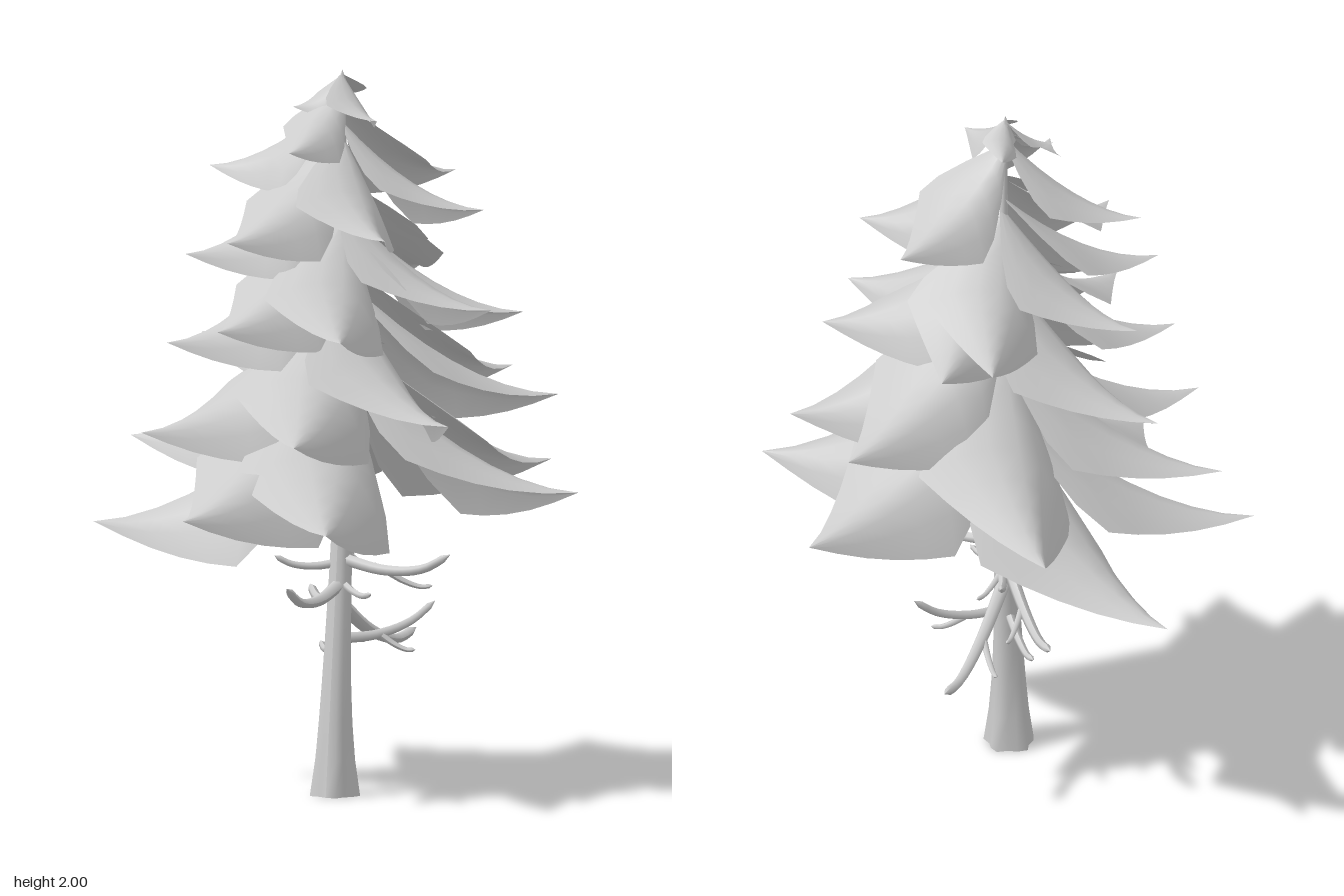
import * as THREE from 'three';

const grey = new THREE.MeshStandardMaterial({ color: 0xcccccc, side: THREE.DoubleSide });
grey.name = 'paleGrey';

// Leaning centre line of the trunk at a height
const axisAt = (y) => new THREE.Vector3(
  -0.006 - 0.004 * y * y, y, -0.04 + 0.095 * Math.exp(-1.8 * y * y));

function part(name, geo) {
  geo.computeVertexNormals();
  const mesh = new THREE.Mesh(geo, grey);
  mesh.name = name;
  return mesh;
}

// Trunk: tapered cylinder bent along the centre line, with a lobed foot
function makeTrunk() {
  const geo = new THREE.CylinderGeometry(1, 1, 1.98, 15, 20, true);
  const p = geo.attributes.position;
  for (let i = 0; i < p.count; i++) {
    const y = p.getY(i) + 0.99;
    const a = Math.atan2(p.getZ(i), p.getX(i));
    const foot = Math.exp(-y * 5);
    const r = (0.036 * (1 - y / 2.05) + 0.005 + 0.024 * foot) * (1 + 0.14 * foot * Math.cos(a * 5));
    const c = axisAt(y);
    p.setXYZ(i, c.x + Math.cos(a) * r, y, c.z + Math.sin(a) * r);
  }
  return part('trunk', geo);
}

// Bough: a pointed, arched sheet from the trunk to a tip, rolled so that
// one side hangs low and the other lies flatter
function makeBough([x, y, z], width, rise, roll) {
  const near = axisAt(y);
  const rootY = Math.min(y + rise * Math.hypot(x - near.x, z - near.z), 1.985);
  const root = axisAt(rootY);
  const dx = x - root.x, dz = z - root.z, len = Math.hypot(dx, dz);
  const rows = 8, cols = 6, widest = 3 / 8, pos = [], index = [];
  const cos = Math.cos(roll), sin = Math.sin(roll);
  for (let i = 0; i <= rows; i++) {
    const u = i / rows;
    // widens quickly from the trunk, then narrows to the point
    const spread = u < widest
      ? 0.12 + 0.88 * Math.sin((u / widest) * Math.PI / 2)
      : Math.pow((1 - u) / (1 - widest), 1.1);
    for (let j = 0; j <= cols; j++) {
      const v = (j / cols) * 2 - 1;
      const flat = v * spread * width;
      const drop = 0.25 * spread * Math.pow(Math.abs(v), 1.7);
      const side = flat * cos - drop * sin;
      const along = u + 0.04 * spread * v * v;
      pos.push(
        root.x + dx * along + dz * side,
        y + (rootY - y) * Math.pow(1 - u, 1.8) - (flat * sin + drop * cos) * len,
        root.z + dz * along - dx * side);
      if (i < rows && j < cols) {
        const a = i * (cols + 1) + j, b = a + cols + 1;
        index.push(a, b, a + 1, a + 1, b, b + 1);
      }
    }
  }
  const geo = new THREE.BufferGeometry();
  geo.setAttribute('position', new THREE.Float32BufferAttribute(pos, 3));
  geo.setIndex(index);
  return part('bough', geo);
}

// Sagging tube from start to end, thinning to a point
function makeTube(name, start, end, radius) {
  const sag = 0.1 * start.distanceTo(end);
  const bend = (t) => start.clone().lerp(end, t).setY(start.y + (end.y - start.y) * t - sag);
  const curve = new THREE.CatmullRomCurve3([start, bend(0.4), bend(0.75), end]);
  const rows = 14, sides = 6;
  const geo = new THREE.TubeGeometry(curve, rows, radius, sides);
  const p = geo.attributes.position;
  const v = new THREE.Vector3();
  for (let i = 0; i < p.count; i++) {
    const t = Math.floor(i / (sides + 1)) / rows;
    const c = curve.getPointAt(t);
    v.fromBufferAttribute(p, i).sub(c).multiplyScalar(t === 1 ? 0.05 : 1.1 - 0.45 * t).add(c);
    p.setXYZ(i, v.x, v.y, v.z);
  }
  return { mesh: part(name, geo), curve };
}

// Bare branch; the long ones carry a small forked twig
function makeBranch([startY, x, y, z], i) {
  const group = new THREE.Group();
  group.name = 'bareBranch';
  const start = axisAt(startY), end = new THREE.Vector3(x, y, z);
  const length = start.distanceTo(end);
  const branch = makeTube('branch', start, end, 0.007 + 0.024 * length);
  group.add(branch.mesh);
  if (length > 0.3 && i > 0) {
    const fork = branch.curve.getPointAt(0.4);
    const reach = end.clone().sub(start).setY(-0.12).multiplyScalar(0.35);
    reach.applyAxisAngle(new THREE.Vector3(0, 1, 0), i % 2 ? 0.6 : -0.6);
    group.add(makeTube('twig', fork, fork.clone().add(reach), 0.009).mesh);
  }
  return group;
}

// Bough tips, tier by tier from the bottom
const tiers = [
  { width: 0.36, rise: 0.55, roll: 0.44, tips: [
    [-0.61, 0.7, -0.45], [-0.67, 0.74, 0.18], [-0.23, 0.82, 0.61], [0.19, 0.8, 0.6],
    [0.67, 0.86, -0.06], [0.38, 0.87, -0.58], [-0.31, 0.93, -0.62], [-0.63, 0.96, 0.01],
    [-0.46, 1.02, 0.35], [0.07, 1.03, 0.54], [0.44, 1.08, 0.32], [0.53, 1.1, -0.26],
    [0.28, 1.13, -0.54],
  ] },
  { width: 0.37, rise: 0.55, roll: 0.44, tips: [
    [-0.52, 1.22, -0.24], [-0.42, 1.26, 0.26], [-0.21, 1.32, 0.41], [0.16, 1.31, 0.42],
    [0.46, 1.37, 0.06], [0.47, 1.34, -0.15], [0.02, 1.4, -0.51], [-0.12, 1.43, -0.49],
    [-0.44, 1.46, -0.17], [-0.39, 1.5, 0.2], [-0.2, 1.56, 0.36], [0.24, 1.58, 0.29],
    [0.39, 1.63, -0.06], [0.18, 1.69, -0.37], [-0.4, 1.72, 0], [-0.07, 1.8, 0.23],
  ] },
  { width: 0.42, rise: 0.75, roll: 0.44, tips: [
    [0.13, 1.88, 0.08], [-0.05, 1.92, -0.16], [-0.14, 1.9, 0.03],
  ] },
];

// Bare branches below the foliage: start height, then end point
const branches = [
  [0.58, 0, 0.62, 0.42], [0.53, 0.03, 0.4, -0.45], [0.6, -0.24, 0.52, -0.34],
  [0.65, 0.35, 0.69, 0.09], [0.43, 0.2, 0.52, -0.17], [0.43, -0.14, 0.39, -0.17],
  [0.67, -0.1, 0.69, -0.34], [0.64, -0.17, 0.66, 0.09], [0.59, 0.12, 0.57, 0.1],
];

export function createModel() {
  const tree = new THREE.Group();
  tree.name = 'coniferTree';
  tree.add(makeTrunk());

  const foliage = new THREE.Group();
  foliage.name = 'foliage';
  for (const { width, rise, roll, tips } of tiers) {
    for (const tip of tips) foliage.add(makeBough(tip, width, rise, roll));
  }
  tree.add(foliage);

  // Pointed top of the crown
  const crown = part('crownTip', new THREE.ConeGeometry(0.03, 0.08, 6, 1, true));
  crown.position.set(-0.022, 1.96, -0.04);
  tree.add(crown);

  const bare = new THREE.Group();
  bare.name = 'bareBranches';
  branches.forEach((branch, i) => bare.add(makeBranch(branch, i)));
  tree.add(bare);
  return tree;
}
